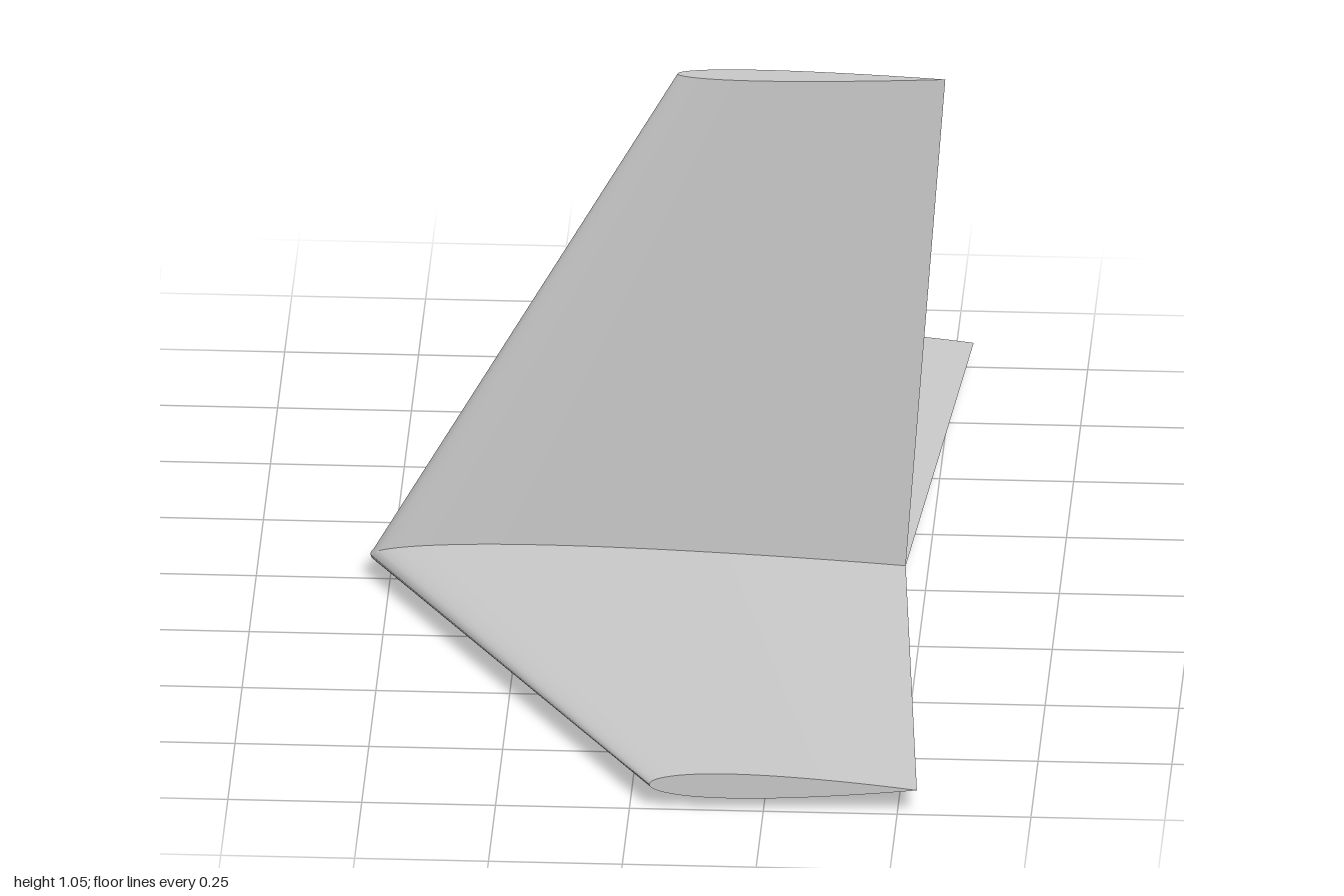
import * as THREE from 'three';

const STEPS = 32;
const THICKNESS = 0.1;
const SECTIONS = [
  { nose: -0.537, chord: 1, span: 0 },
  { nose: 0.037, chord: 0.5, span: 1 },
];

// Half thickness of a symmetric aerofoil with a closed trailing edge, u in 0..1
const halfThickness = (u) =>
  5 * THICKNESS * (0.2969 * Math.sqrt(u) - 0.126 * u - 0.3516 * u ** 2 + 0.2843 * u ** 3 - 0.1036 * u ** 4);

// Point on a section; side is +1 for the upper skin, -1 for the lower
function foilPoint({ nose, chord, span }, i, side) {
  const u = (1 - Math.cos((Math.PI * i) / STEPS)) / 2;
  return [nose + chord * u, side * chord * halfThickness(u), span];
}

// Strip of quads between two rows of points
function strip(rowA, rowB, flip) {
  const positions = [];
  const index = [];
  for (let i = 0; i <= STEPS; i++) {
    positions.push(...rowA(i), ...rowB(i));
    if (i === STEPS) break;
    const a = 2 * i, b = a + 1, c = a + 2, d = a + 3;
    if (flip) index.push(a, c, b, b, c, d);
    else index.push(a, b, c, b, d, c);
  }
  const geometry = new THREE.BufferGeometry();
  geometry.setAttribute('position', new THREE.Float32BufferAttribute(positions, 3));
  geometry.setIndex(index);
  geometry.computeVertexNormals();
  return geometry;
}

// One tapered, swept panel reaching along +z
function makePanel(name, angle, material) {
  const [root, tip] = SECTIONS;
  const panel = new THREE.Group();
  panel.name = name;
  const add = (part, geometry) => {
    const mesh = new THREE.Mesh(geometry, material);
    mesh.name = part;
    panel.add(mesh);
  };
  for (const side of [1, -1]) {
    add(side > 0 ? 'upperSkin' : 'lowerSkin',
      strip((i) => foilPoint(root, i, side), (i) => foilPoint(tip, i, side), side < 0));
  }
  add('tipCap', strip((i) => foilPoint(tip, i, -1), (i) => foilPoint(tip, i, 1), true));
  panel.rotation.x = angle;
  panel.position.y = 0.05;
  return panel;
}

export function createModel() {
  const model = new THREE.Group();
  model.name = 'tailAssembly';
  const material = new THREE.MeshStandardMaterial({ color: 0xcccccc, side: THREE.DoubleSide });

  // Two horizontal panels and the upright fin share one shape
  model.add(makePanel('frontStabilizer', 0, material));
  model.add(makePanel('rearStabilizer', Math.PI, material));
  model.add(makePanel('verticalFin', -Math.PI / 2, material));
  return model;
}
